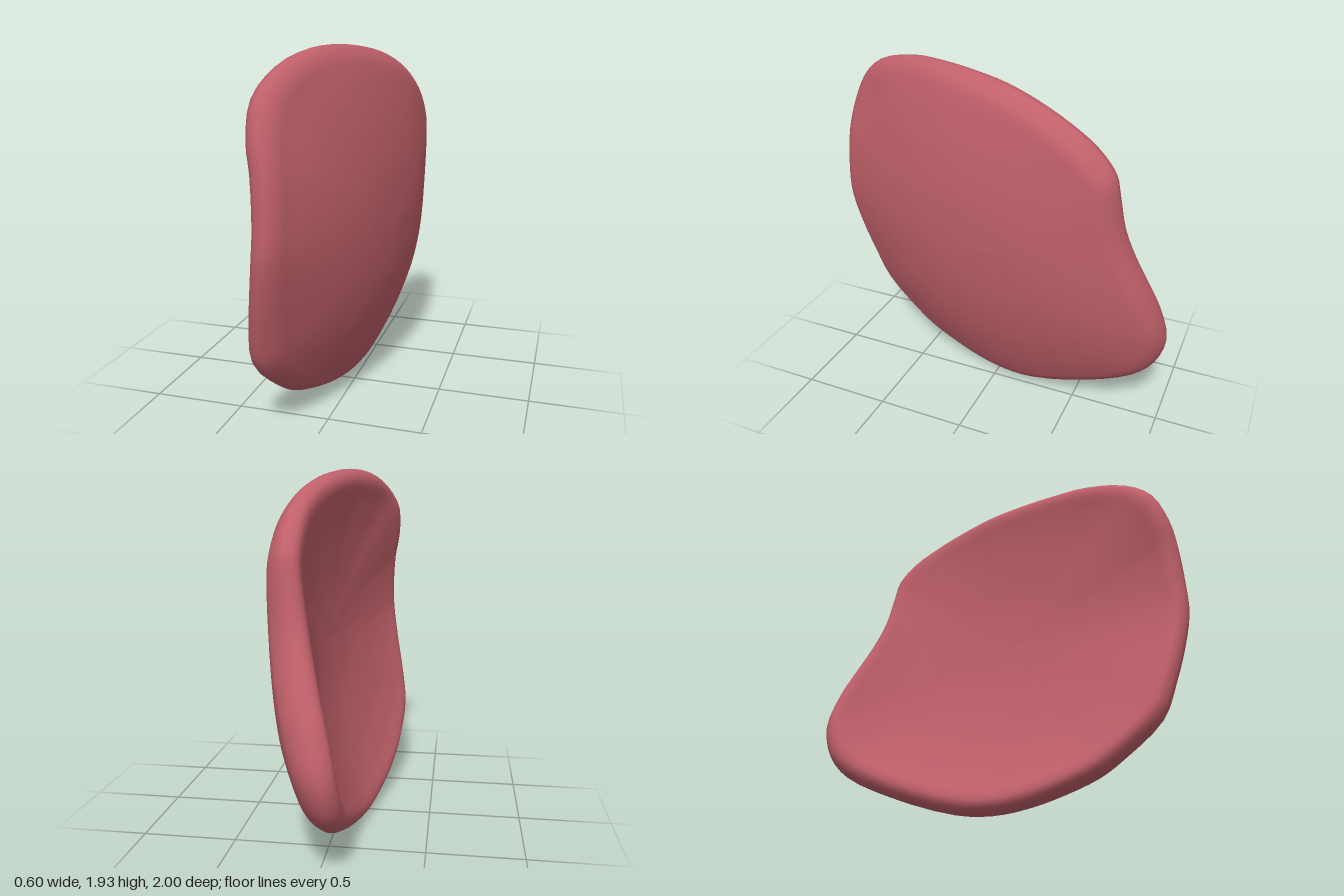
import * as THREE from 'three';

// Rim of the shell, clockwise seen from +x: z, y, x of the inner lip
const RIM = [
  [0.3, 1.925, -0.065], [0.1, 1.91, -0.02], [-0.1, 1.88, 0.025], [-0.3, 1.82, 0.07],
  [-0.47, 1.74, 0.095], [-0.6, 1.65, 0.1], [-0.7, 1.53, 0.1], [-0.725, 1.42, 0.09],
  [-0.76, 1.22, 0.06], [-0.82, 1.05, 0.025], [-0.9, 0.87, -0.02], [-0.96, 0.72, -0.06],
  [-1, 0.53, -0.1], [-0.95, 0.36, -0.12], [-0.85, 0.25, -0.125], [-0.6, 0.13, -0.125],
  [-0.25, 0.02, -0.145], [-0.05, 0, -0.175], [0.13, 0.02, -0.205], [0.32, 0.07, -0.24],
  [0.5, 0.14, -0.268], [0.62, 0.22, -0.285], [0.82, 0.4, -0.3], [0.9, 0.6, -0.275],
  [0.96, 0.8, -0.24], [1, 1, -0.21], [1, 1.15, -0.2], [0.98, 1.4, -0.21],
  [0.95, 1.55, -0.235], [0.87, 1.73, -0.24], [0.73, 1.85, -0.19], [0.5, 1.915, -0.125],
];
const AROUND = 96, ACROSS = 56, CENTRE_Y = 1, THICKNESS = 0.19;
const SHOULDER = 0.89, LIP = 0.92;

// Domed outer face
const dome = (z, y) => 0.295 - 0.2 * ((z + 0.4) ** 2 + (y - 1.15) ** 2);

// Section from the middle of the outer face, over the lip, to the middle of the inner face
function section(rim) {
  const lip = rim.z, edge = lip + 0.07;
  const at = (s) => dome(rim.x * s, CENTRE_Y + (rim.y - CENTRE_Y) * s);
  const p = (s, x) => new THREE.Vector2(s, x);
  // Both faces follow the dome and bend gradually towards the rim
  const outerDrop = (at(SHOULDER) + 0.02 - lip - 0.19) / 2;
  const innerDrop = at(LIP) - THICKNESS - lip;
  const outer = [0, 0.3, 0.55, 0.75, SHOULDER]
    .map((s) => p(s, at(s) - outerDrop * (s / SHOULDER) ** 4));
  const inner = [LIP, 0.8, 0.6, 0.3, 0]
    .map((s) => p(s, at(s) - THICKNESS - innerDrop * (s / LIP) ** 2.4));
  // Rounded bend from the shoulder to the outermost edge
  const height = at(SHOULDER) - outerDrop - edge;
  const bend = [p(0.95, edge + height * 0.7), p(0.985, edge + height * 0.37)];
  return new THREE.SplineCurve([...outer, ...bend, p(1, edge), p(0.978, lip + 0.02), ...inner]);
}

function shellGeometry() {
  const rimCurve = new THREE.CatmullRomCurve3(RIM.map((r) => new THREE.Vector3(...r)), true);
  const positions = [], index = [];

  // One shared vertex at the middle of each face
  const middle = dome(0, CENTRE_Y);
  positions.push(middle, CENTRE_Y, 0, middle - THICKNESS, CENTRE_Y, 0);
  for (let j = 0; j < AROUND; j++) {
    const rim = rimCurve.getPoint(j / AROUND);
    const curve = section(rim);
    for (let i = 1; i < ACROSS; i++) {
      const q = curve.getPoint(i / ACROSS);
      positions.push(q.y, Math.max(0, CENTRE_Y + (rim.y - CENTRE_Y) * q.x), rim.x * q.x);
    }
  }
  const id = (i, j) => {
    if (i === 0) return 0;
    if (i === ACROSS) return 1;
    return 2 + (j % AROUND) * (ACROSS - 1) + i - 1;
  };
  for (let j = 0; j < AROUND; j++) {
    for (let i = 0; i < ACROSS; i++) {
      const a = id(i, j), b = id(i + 1, j), c = id(i + 1, j + 1), d = id(i, j + 1);
      if (b !== c) index.push(a, c, b);
      if (a !== d) index.push(a, d, c);
    }
  }
  const geometry = new THREE.BufferGeometry();
  geometry.setAttribute('position', new THREE.Float32BufferAttribute(positions, 3));
  geometry.setIndex(index);
  geometry.computeVertexNormals();
  return geometry;
}

export function createModel() {
  const group = new THREE.Group();
  group.name = 'curvedPlate';
  const rose = new THREE.MeshStandardMaterial({ color: 0xc0606a });
  rose.name = 'dustyRose';
  const shell = new THREE.Mesh(shellGeometry(), rose);
  shell.name = 'shell';
  group.add(shell);
  return group;
}
